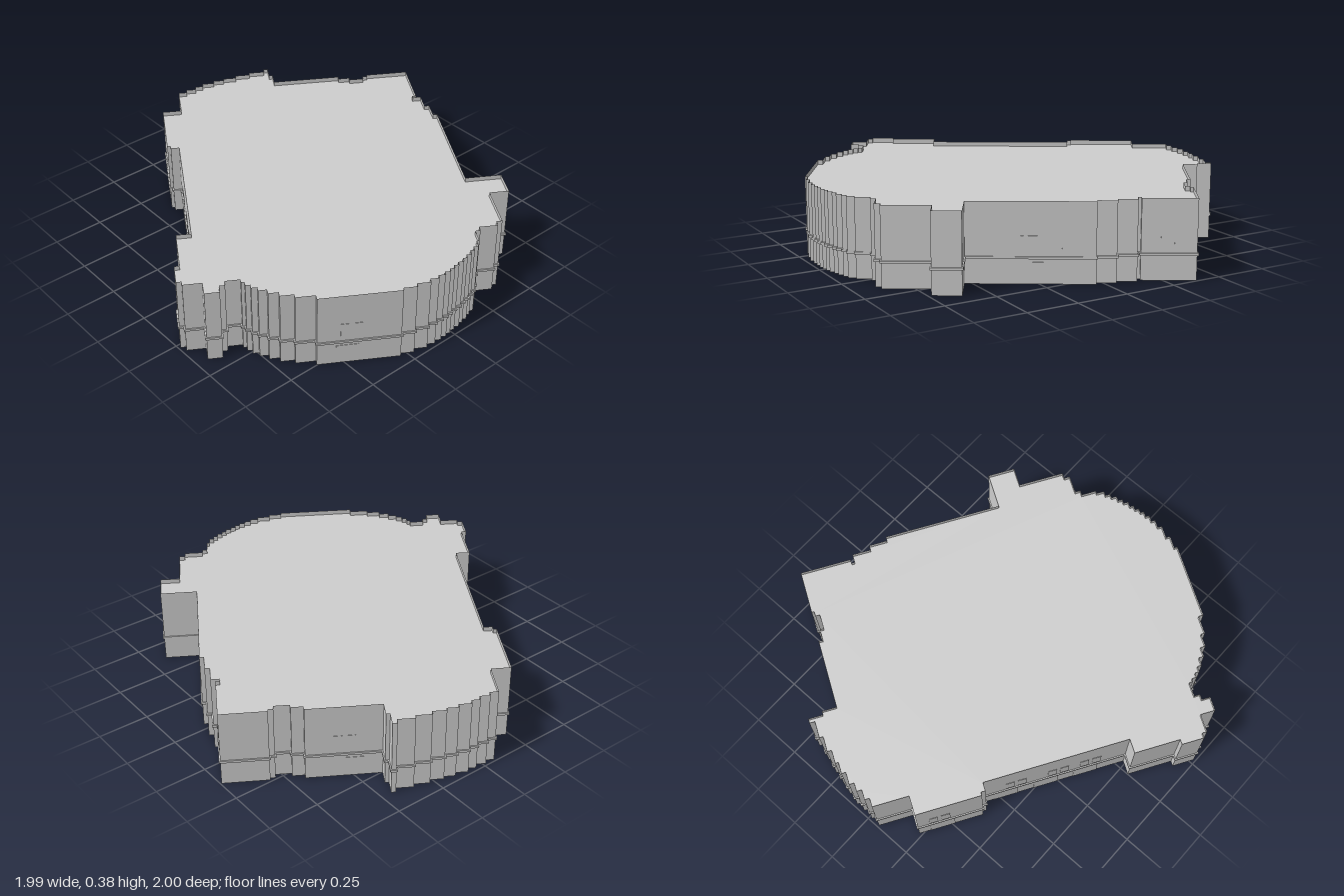
import * as THREE from 'three';

// The plan is right-angled in a frame turned by this angle.
const ANGLE = THREE.MathUtils.degToRad(31.5);
const U = new THREE.Vector2(Math.cos(ANGLE), Math.sin(ANGLE));
const HEIGHT = 0.375, ROOF = 0.352;

// Every second corner of the plan (x, z), clockwise from the rear tip.
const CORNERS = [
  [-0.378, -0.995], [-0.176, -0.848], [-0.141, -0.875], [-0.051, -0.848], [0.037, -0.819],
  [0.622, -0.667], [0.686, -0.517], [0.862, -0.376],
  // stepped curve on the +x side
  [0.84, -0.285], [0.85, -0.25], [0.905, -0.2], [0.925, -0.16], [0.935, -0.13],
  [0.945, -0.095], [0.952, -0.065], [0.958, -0.03], [0.962, 0], [0.967, 0.03],
  [0.968, 0.063], [0.967, 0.1], [0.962, 0.145], [0.947, 0.21], [0.931, 0.275],
  // stepped curve towards the front
  [0.748, 0.603], [0.68, 0.667], [0.63, 0.71], [0.585, 0.737], [0.543, 0.757],
  [0.51, 0.769], [0.48, 0.777], [0.452, 0.778], [0.4, 0.827], [0.41, 0.864],
  [0.41, 0.944], [0.303, 0.981], [0.271, 0.99],
  // long front wall and its bays
  [0.191, 0.912], [0.037, 0.736], [-0.59, 0.4], [-0.617, 0.402], [-0.84, 0.155],
  // stepped curve on the -x side
  [-0.968, 0.027], [-0.963, -0.027], [-0.963, -0.075], [-0.952, -0.139], [-0.941, -0.197],
  [-0.92, -0.261], [-0.899, -0.336], [-0.872, -0.416], [-0.883, -0.448], [-0.814, -0.427],
  [-0.574, -0.683], [-0.527, -0.72], [-0.473, -0.773], [-0.479, -0.805],
].map(([x, z]) => new THREE.Vector2(x, z));

// Fill in the corners between: first along U, then at right angles to it.
function makeOutline() {
  const points = [];
  CORNERS.forEach((p, i) => {
    const next = CORNERS[(i + 1) % CORNERS.length];
    const along = next.clone().sub(p).dot(U);
    points.push(p, p.clone().addScaledVector(U, along));
  });
  return points;
}

// Sweep a profile of [outward offset, height] pairs round the outline.
function sweep(outline, profile) {
  const n = outline.length;
  const normals = outline.map((p, i) => {
    const d = outline[(i + 1) % n].clone().sub(p).normalize();
    return new THREE.Vector2(d.y, -d.x);
  });
  const corner = (i, [offset, y]) => {
    const p = outline[i].clone()
      .addScaledVector(normals[i], offset)
      .addScaledVector(normals[(i + n - 1) % n], offset);
    return [p.x, y, p.y];
  };
  const positions = [];
  for (let i = 0; i < n; i++) {
    const j = (i + 1) % n;
    for (let k = 0; k < profile.length - 1; k++) {
      const a = corner(i, profile[k]), b = corner(j, profile[k]);
      const a2 = corner(i, profile[k + 1]), b2 = corner(j, profile[k + 1]);
      positions.push(...b, ...a, ...a2, ...b, ...a2, ...b2);
    }
  }
  const geometry = new THREE.BufferGeometry();
  geometry.setAttribute('position', new THREE.Float32BufferAttribute(positions, 3));
  geometry.computeVertexNormals();
  return geometry;
}

export function createModel() {
  const model = new THREE.Group();
  model.name = 'building';
  const grey = new THREE.MeshStandardMaterial({ color: 0xd0d0d0, side: THREE.DoubleSide });
  grey.name = 'light grey';
  const add = (name, geometry) => {
    const mesh = new THREE.Mesh(geometry, grey);
    mesh.name = name;
    model.add(mesh);
    return mesh;
  };
  const outline = makeOutline();

  // Thin walls, open at the bottom and rising above the roof as a parapet
  add('walls', sweep(outline, [[0, 0], [0, HEIGHT]]));

  // Narrow belt course between the storeys
  add('beltCourse', sweep(outline, [[0, 0.115], [0.006, 0.115], [0.006, 0.126], [0, 0.126]]));

  // Flat roof just below the parapet
  const roof = new THREE.ShapeGeometry(new THREE.Shape(outline.map(p => new THREE.Vector2(p.x, -p.y))));
  roof.rotateX(-Math.PI / 2);
  add('roof', roof).position.y = ROOF;

  // Thin panel on the wall leaving a given outline corner, at a distance along it
  const panel = (name, wall, distance, width, y0, y1) => {
    const a = outline[wall], b = outline[(wall + 1) % outline.length];
    const d = b.clone().sub(a).normalize();
    const mesh = add(name, new THREE.BoxGeometry(width, y1 - y0, 0.004));
    mesh.position.set(a.x + d.x * distance, (y0 + y1) / 2, a.y + d.y * distance);
    mesh.rotation.y = -Math.atan2(d.y, d.x);
  };
  const cornerIndex = (x, z) => {
    const target = new THREE.Vector2(x, z);
    return outline.reduce((best, p, i) =>
      p.distanceTo(target) < outline[best].distanceTo(target) ? i : best, 0);
  };
  const windowPair = (wall, distance) => {
    for (const s of [-1, 1]) panel('window', wall, distance + s * 0.03, 0.042, 0.14, 0.22);
  };

  // Front wall: paired windows above, doors below
  const front = cornerIndex(0.037, 0.736);
  for (const d of [0.18, 0.34, 0.55]) windowPair(front, d);
  for (const d of [0.2, 0.4, 0.6]) panel('door', front, d, 0.12, 0.002, 0.1);

  // Front bay
  const bay = cornerIndex(-0.617, 0.402);
  windowPair(bay, 0.21);
  panel('door', bay, 0.2, 0.12, 0.002, 0.1);

  // Rear wall
  const rear = cornerIndex(0.037, -0.819);
  for (const d of [0.16, 0.31, 0.46]) windowPair(rear, d);
  for (const d of [0.23, 0.42]) panel('door', rear, d, 0.1, 0.002, 0.1);
  windowPair(0, 0.11);

  // Straight walls between the stepped curves
  const side = cornerIndex(0.95, 0.287);
  windowPair(side, 0.22);
  panel('door', side, 0.24, 0.1, 0.002, 0.1);
  const otherSide = cornerIndex(-0.76, -0.394);
  windowPair(otherSide, 0.17);
  panel('door', otherSide, 0.12, 0.1, 0.002, 0.1);

  return model;
}
